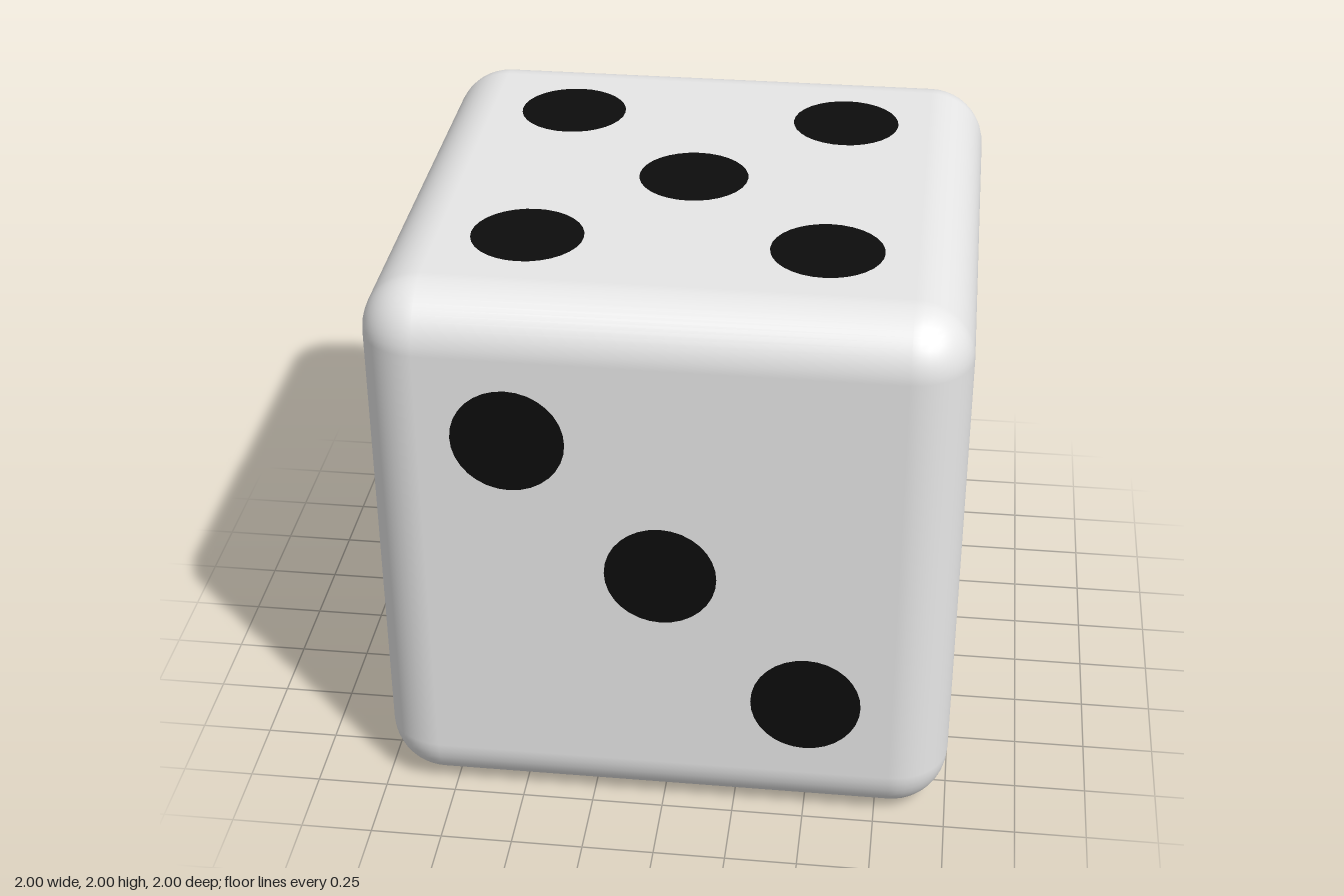
import * as THREE from 'three';
import { RoundedBoxGeometry } from 'three/addons/geometries/RoundedBoxGeometry.js';

const HALF = 0.999;        // half the cube's edge, leaving room for the pips
const PIP_RADIUS = 0.19;
const S = 0.5;             // pip spacing from the face centre

const white = new THREE.MeshStandardMaterial({ color: 0xe7e7e7 });
white.name = 'white';
const black = new THREE.MeshStandardMaterial({ color: 0x0d0d0d });
black.name = 'black';

// Each face: turn from facing +z, and pip positions (right, up) seen face-on
const corners = [[-S, S], [S, S], [-S, -S], [S, -S]];
const diagonal = [[-S, S], [S, -S]];
const faces = [
  { name: 'onePips', turn: [0, Math.PI / 2, 0], pips: [[0, 0]] },
  { name: 'twoPips', turn: [Math.PI / 2, 0, 0], pips: diagonal.map(([u, v]) => [u, -v * -1]) },
  { name: 'threePips', turn: [0, 0, 0], pips: [...diagonal, [0, 0]] },
  { name: 'fourPips', turn: [0, Math.PI, 0], pips: corners },
  { name: 'fivePips', turn: [-Math.PI / 2, 0, 0], pips: [...corners, [0, 0]] },
  { name: 'sixPips', turn: [0, -Math.PI / 2, 0], pips: [...corners, [0, S], [0, -S]] },
];
// The bottom pair runs from the back right corner to the front left one
faces[1].pips = [[-S, -S], [S, S]];

export function createModel() {
  const die = new THREE.Group();
  die.name = 'die';

  // Rounded cube
  const body = new THREE.Mesh(new RoundedBoxGeometry(2 * HALF, 2 * HALF, 2 * HALF, 6, 0.2), white);
  body.name = 'body';
  body.position.y = 1;
  die.add(body);

  // Thin round pips on every face
  const disc = new THREE.CircleGeometry(PIP_RADIUS, 32);
  for (const { name, turn, pips } of faces) {
    const face = new THREE.Group();
    face.name = name;
    face.position.y = 1;
    face.rotation.set(...turn);
    for (const [u, v] of pips) {
      const pip = new THREE.Mesh(disc, black);
      pip.name = 'pip';
      pip.position.set(u, v, 1);
      face.add(pip);
    }
    die.add(face);
  }
  return die;
}
